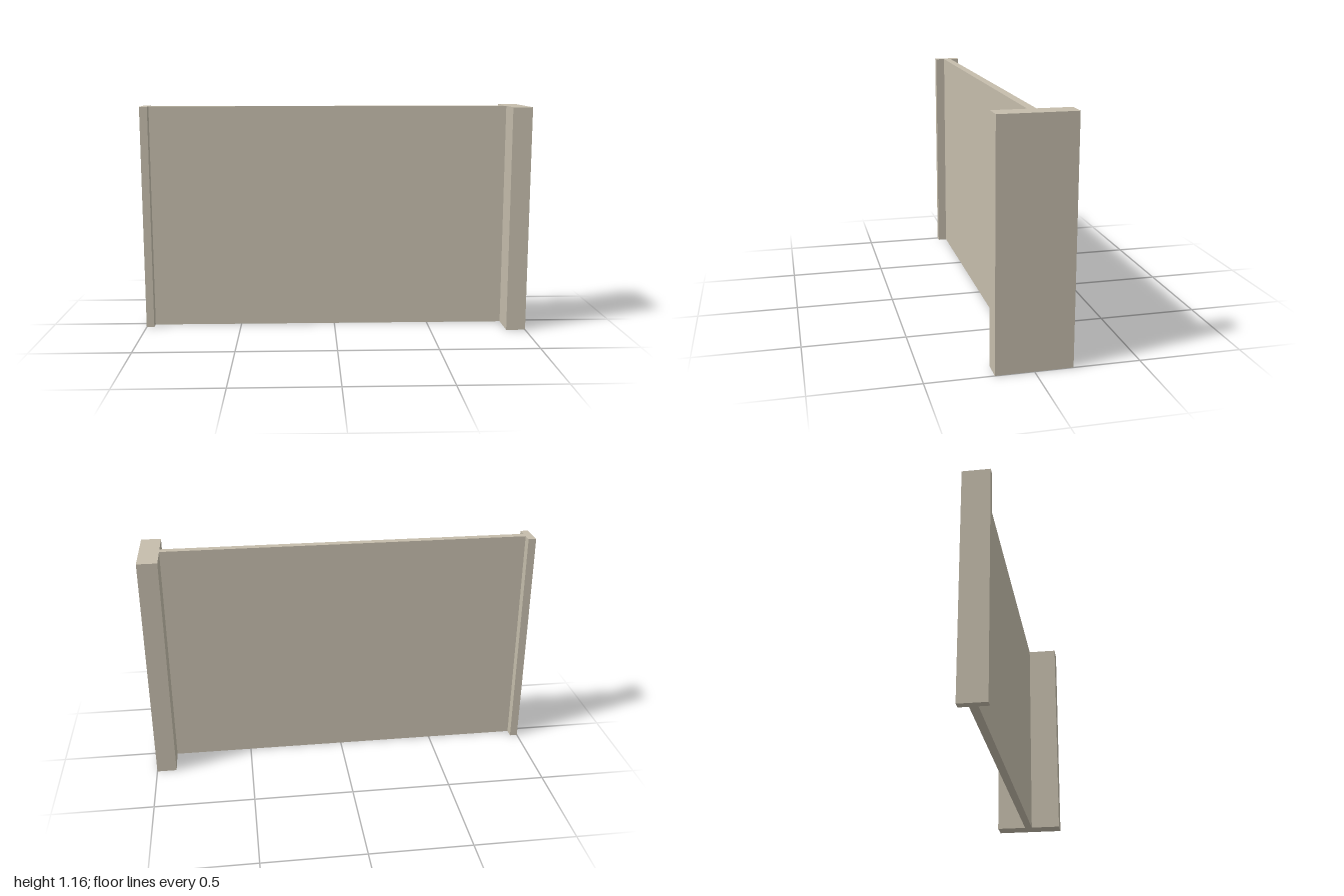
import * as THREE from 'three';

const HEIGHT = 1.165;

// Half of the plan outline (x, half depth), from the thin end to the thick end
const HALF_PLAN = [
  [-1, 0.068], [-0.96, 0.068],   // narrow end strip
  [-0.96, 0.02], [0.9, 0.02],    // thin panel
  [0.9, 0.182], [1, 0.182],      // wide end post
];

export function createModel() {
  const group = new THREE.Group();
  group.name = 'partitionWall';

  const stone = new THREE.MeshStandardMaterial({ color: 0xc5bdac });
  stone.name = 'warm beige';

  // Mirror the half outline across the centre line to close the plan
  const near = HALF_PLAN.map(([x, d]) => new THREE.Vector2(x, -d));
  const far = HALF_PLAN.map(([x, d]) => new THREE.Vector2(x, d)).reverse();
  const plan = new THREE.Shape([...near, ...far]);

  // Raise the plan into one continuous wall with its end flanges
  const geometry = new THREE.ExtrudeGeometry(plan, { depth: HEIGHT, bevelEnabled: false });
  geometry.rotateX(-Math.PI / 2);

  const wall = new THREE.Mesh(geometry, stone);
  wall.name = 'wallPanelWithEndPosts';
  group.add(wall);
  return group;
}
